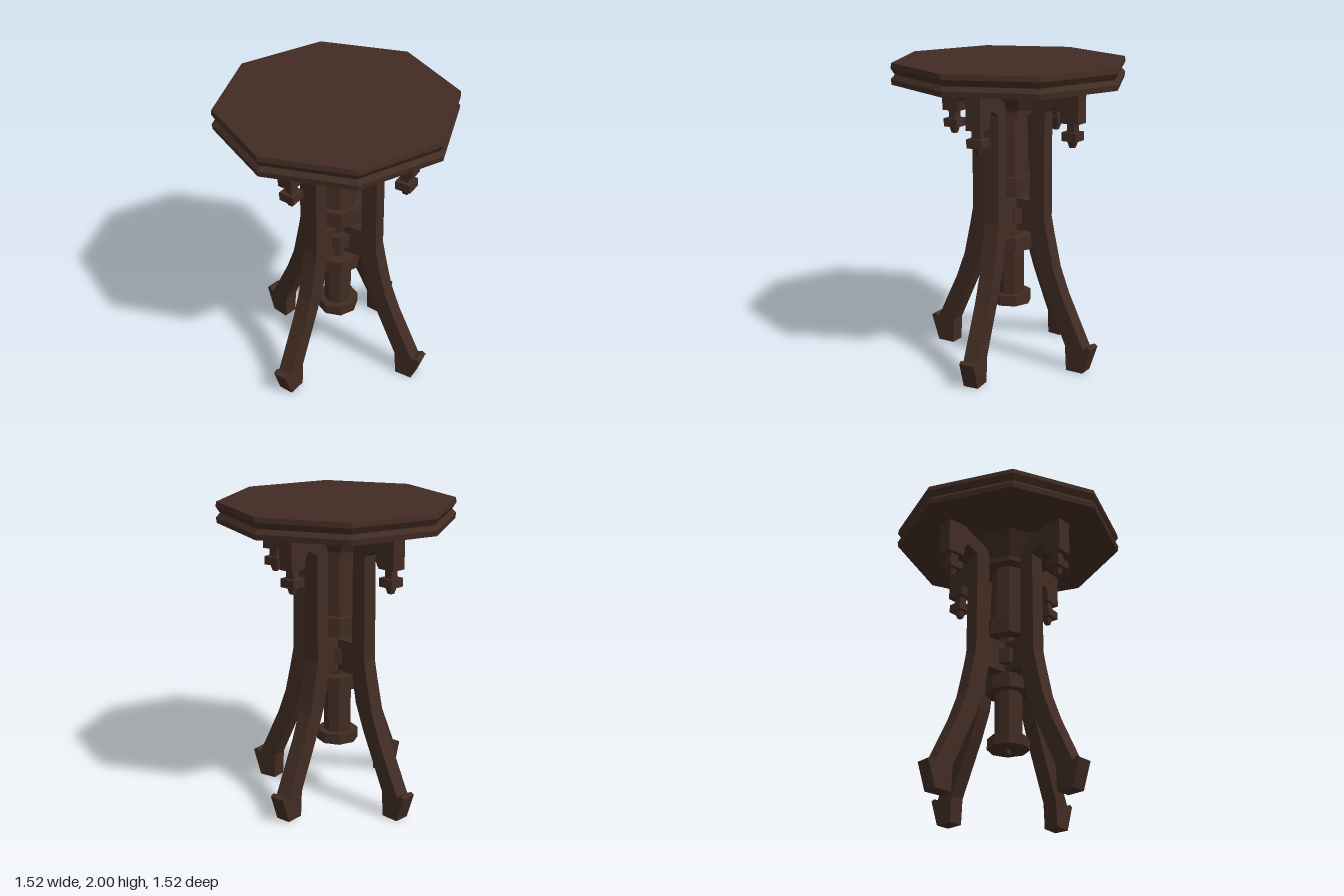
import * as THREE from 'three';

const walnut = new THREE.MeshStandardMaterial({ color: 0x412c23, flatShading: true });
walnut.name = 'dark walnut';

// Faceted turning: [radius, height] pairs from bottom to top
function turned(name, points, sides = 8) {
  const profile = points.map(([r, y]) => new THREE.Vector2(r, y));
  const mesh = new THREE.Mesh(new THREE.LatheGeometry(profile, sides), walnut);
  mesh.name = name;
  return mesh;
}

// Leg silhouette in the (radius, height) plane
const legOutline = [
  [0.03, 0.9], [0.2, 0.9], [0.23, 0.72], [0.3, 0.54], [0.47, 0.17], [0.48, 0],
  [0.6, 0], [0.657, 0.172], [0.635, 0.185], [0.6, 0.168], [0.44, 0.5], [0.375, 0.67],
  [0.325, 0.89], [0.303, 1.0], [0.3, 1.69], [0.36, 1.725], [0.388, 1.73], [0.41, 1.7],
  [0.418, 1.635], [0.54, 1.635], [0.54, 1.866], [0.405, 1.866], [0.39, 1.85],
  [0.21, 1.76], [0.2, 1.7], [0.195, 1.11], [0.03, 1.11],
];

function box(name, w, y0, y1, x) {
  const mesh = new THREE.Mesh(new THREE.BoxGeometry(w, y1 - y0, w), walnut);
  mesh.position.set(x, (y0 + y1) / 2, 0);
  mesh.name = name;
  return mesh;
}

function makeLeg(name, degrees, x, z, shift) {
  const leg = new THREE.Group();
  leg.name = name;
  const shape = new THREE.Shape(legOutline.map(([r, y]) => new THREE.Vector2(r + shift, y)));
  const geometry = new THREE.ExtrudeGeometry(shape, { depth: 0.1, bevelEnabled: false });
  geometry.translate(0, 0, -0.05);
  const body = new THREE.Mesh(geometry, walnut);
  body.name = 'legBoard';
  leg.add(body);

  // Drop finial under the bracket
  const fx = 0.477 + shift;
  leg.add(box('finialNeck', 0.055, 1.57, 1.64, fx));
  leg.add(box('finialBlock', 0.104, 1.525, 1.58, fx));
  const tip = turned('finialTip', [[0, 1.48], [0.021, 1.48], [0.038, 1.53]], 4);
  tip.geometry.rotateY(Math.PI / 4);
  tip.position.x = fx;
  leg.add(tip);

  leg.rotation.y = THREE.MathUtils.degToRad(degrees);
  leg.position.set(x, 0, z);
  return leg;
}

export function createModel() {
  const table = new THREE.Group();
  table.name = 'pedestalTable';

  // Octagonal top with a grooved edge
  table.add(turned('tableTop', [
    [0, 1.865], [0.757, 1.865], [0.762, 1.9], [0.736, 1.928],
    [0.762, 1.968], [0.757, 2], [0, 2],
  ]));

  // Central column
  table.add(turned('columnCapital', [[0, 1.67], [0.19, 1.67], [0.19, 1.7], [0.275, 1.866]]));
  table.add(turned('upperColumn', [[0.122, 1.28], [0.108, 1.68]]));
  table.add(turned('upperCollar', [
    [0, 1.15], [0.165, 1.15], [0.165, 1.265], [0.122, 1.265], [0.122, 1.28],
  ]));
  table.add(turned('columnNeck', [[0.08, 0.85], [0.08, 1.16]]));
  table.add(turned('middleCollar', [[0, 0.95], [0.125, 0.95], [0.125, 1.05], [0, 1.05]]));
  table.add(turned('lowerCollar', [[0, 0.77], [0.15, 0.77], [0.15, 0.86], [0, 0.86]]));
  table.add(turned('lowerColumn', [[0.09, 0.45], [0.09, 0.78]]));
  table.add(turned('columnBase', [[0, 0.39], [0.137, 0.39], [0.137, 0.46], [0, 0.46]]));
  table.add(turned('basePin', [[0, 0.355], [0.016, 0.355], [0.016, 0.4]]));

  // Four bracketed legs; the side pair leans slightly to the back
  table.add(makeLeg('leftLeg', 6, 0, -0.014, 0));
  table.add(makeLeg('rightLeg', 174, 0, -0.014, 0));
  table.add(makeLeg('frontLeg', -90, -0.013, 0, -0.029));
  table.add(makeLeg('backLeg', 90, -0.013, 0, -0.029));

  return table;
}
